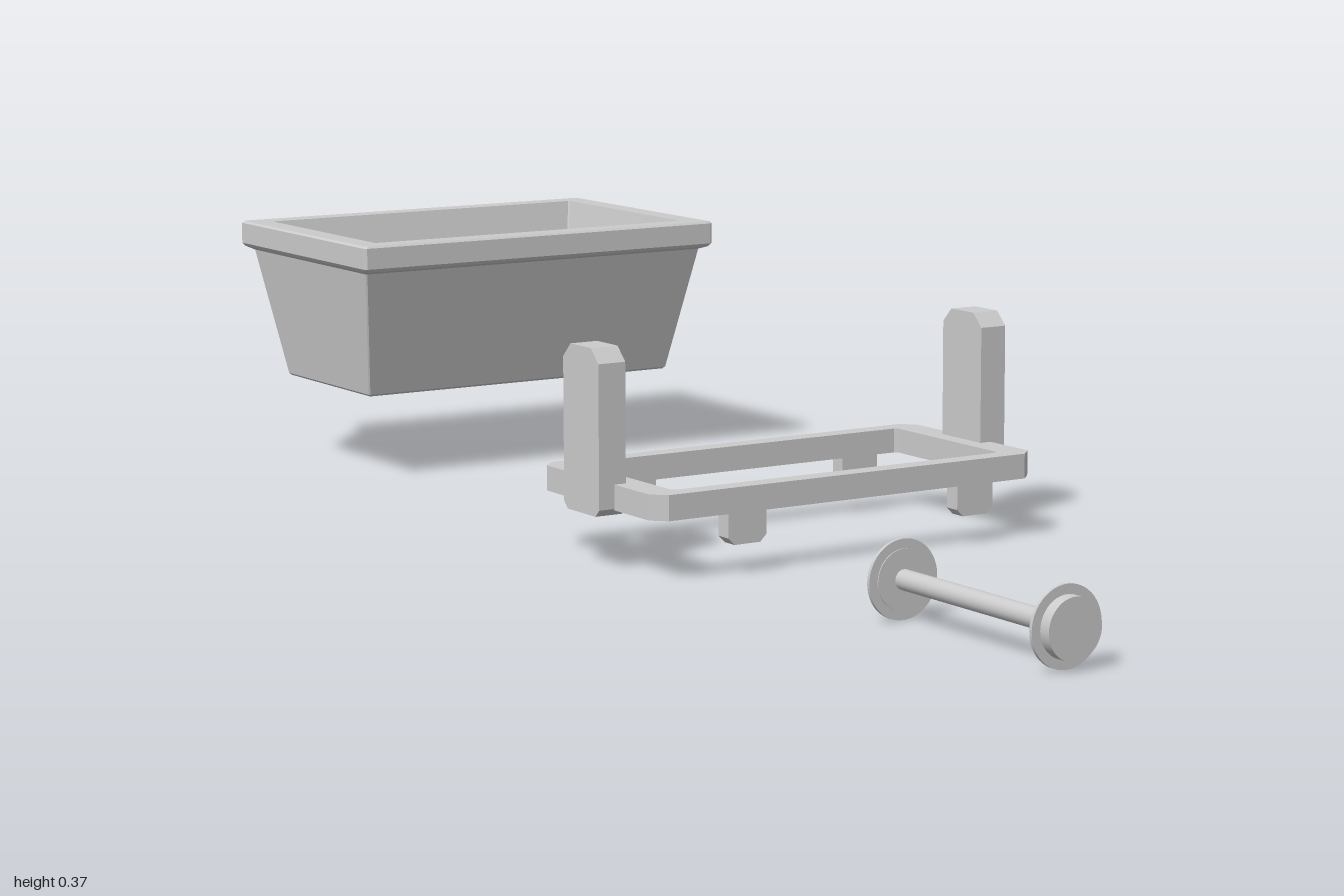
import * as THREE from 'three';

const smooth = new THREE.MeshStandardMaterial({ color: 0xcccccc });
const faceted = new THREE.MeshStandardMaterial({ color: 0xcccccc, flatShading: true });

function add(parent, name, geometry, material, x = 0, y = 0, z = 0) {
  const mesh = new THREE.Mesh(geometry, material);
  mesh.name = name;
  mesh.position.set(x, y, z);
  parent.add(mesh);
  return mesh;
}

// Corners of a rectangle with cut corners, counter-clockwise
function cutRect(hx, hy, top, bottom = top) {
  return [
    [hx - bottom, -hy], [hx, -hy + bottom], [hx, hy - top], [hx - top, hy],
    [-hx + top, hy], [-hx, hy - top], [-hx, -hy + bottom], [-hx + bottom, -hy],
  ].map(([x, y]) => new THREE.Vector2(x, y));
}

// Slab of a cut-corner rectangle, centred on its depth
function slab(hx, hy, depth, top, bottom, hole) {
  const shape = new THREE.Shape(cutRect(hx, hy, top, bottom));
  if (hole) shape.holes.push(new THREE.Path(cutRect(...hole).reverse()));
  return new THREE.ExtrudeGeometry(shape, { depth, bevelEnabled: false }).translate(0, 0, -depth / 2);
}

// Skin over horizontal rectangles [halfX, y, halfZ, cornerCut]
function loft(rings) {
  const positions = [], index = [];
  for (const [hx, y, hz, cut] of rings)
    for (const p of cutRect(hx, hz, cut)) positions.push(p.x, y, -p.y);
  for (let r = 0; r < rings.length - 1; r++)
    for (let i = 0; i < 8; i++) {
      const j = (i + 1) % 8, a = r * 8 + i, b = r * 8 + j;
      index.push(a, b, b + 8, a, b + 8, a + 8);
    }
  const geometry = new THREE.BufferGeometry();
  geometry.setAttribute('position', new THREE.Float32BufferAttribute(positions, 3));
  geometry.setIndex(index);
  geometry.computeVertexNormals();
  return geometry;
}

export function createModel() {
  const model = new THREE.Group();
  model.name = 'tipperParts';

  // Tapered hollow tub with a thick rim
  add(model, 'tub', loft([
    [0, 0.131, 0, 0],
    [0.267, 0.131, 0.134, 0.002],
    [0.27, 0.134, 0.137, 0.002],
    [0.3, 0.329, 0.19, 0.002],
    [0.309, 0.334, 0.207, 0.004],
    [0.313, 0.339, 0.211, 0.004],
    [0.313, 0.371, 0.211, 0.004],
    [0.31, 0.374, 0.208, 0.004],
    [0.275, 0.374, 0.173, 0.002],
    [0.232, 0.165, 0.119, 0.002],
    [0, 0.165, 0, 0],
  ]), faceted, 0, 0, -0.789);

  // Chassis: open frame, end uprights and axle lugs
  const chassis = new THREE.Group();
  chassis.name = 'chassis';
  chassis.position.z = 0.111;
  model.add(chassis);
  const frame = add(chassis, 'frame',
    slab(0.321, 0.156, 0.036, 0.02, 0.02, [0.276, 0.126, 0.005]), faceted, 0, 0.103, 0);
  frame.rotation.x = -Math.PI / 2;

  for (const side of [-1, 1]) {
    const upright = add(chassis, 'upright',
      slab(0.047, 0.1165, 0.043, 0.02, 0.01), faceted, side * 0.324, 0.1935, 0);
    upright.rotation.y = Math.PI / 2;
    for (const x of [-0.174, 0.213])
      add(chassis, 'axleLug', slab(0.031, 0.025, 0.025, 0, 0.01), faceted, x, 0.066, side * 0.1435);
  }

  // Wheelset: rod with a flanged wheel on each end
  const wheelset = new THREE.Group();
  wheelset.name = 'wheelset';
  wheelset.position.set(-0.174, 0.054, 0.807);
  wheelset.rotation.x = Math.PI / 2;
  model.add(wheelset);
  add(wheelset, 'axle', new THREE.CylinderGeometry(0.014, 0.014, 0.36, 24), smooth);
  for (const end of [-1, 1]) {
    add(wheelset, 'wheelTread', new THREE.CylinderGeometry(0.041, 0.041, 0.024, 48), smooth, 0, end * 0.181, 0);
    add(wheelset, 'wheelFlange', new THREE.CylinderGeometry(0.054, 0.054, 0.005, 48), smooth, 0, end * 0.173, 0);
  }
  return model;
}
